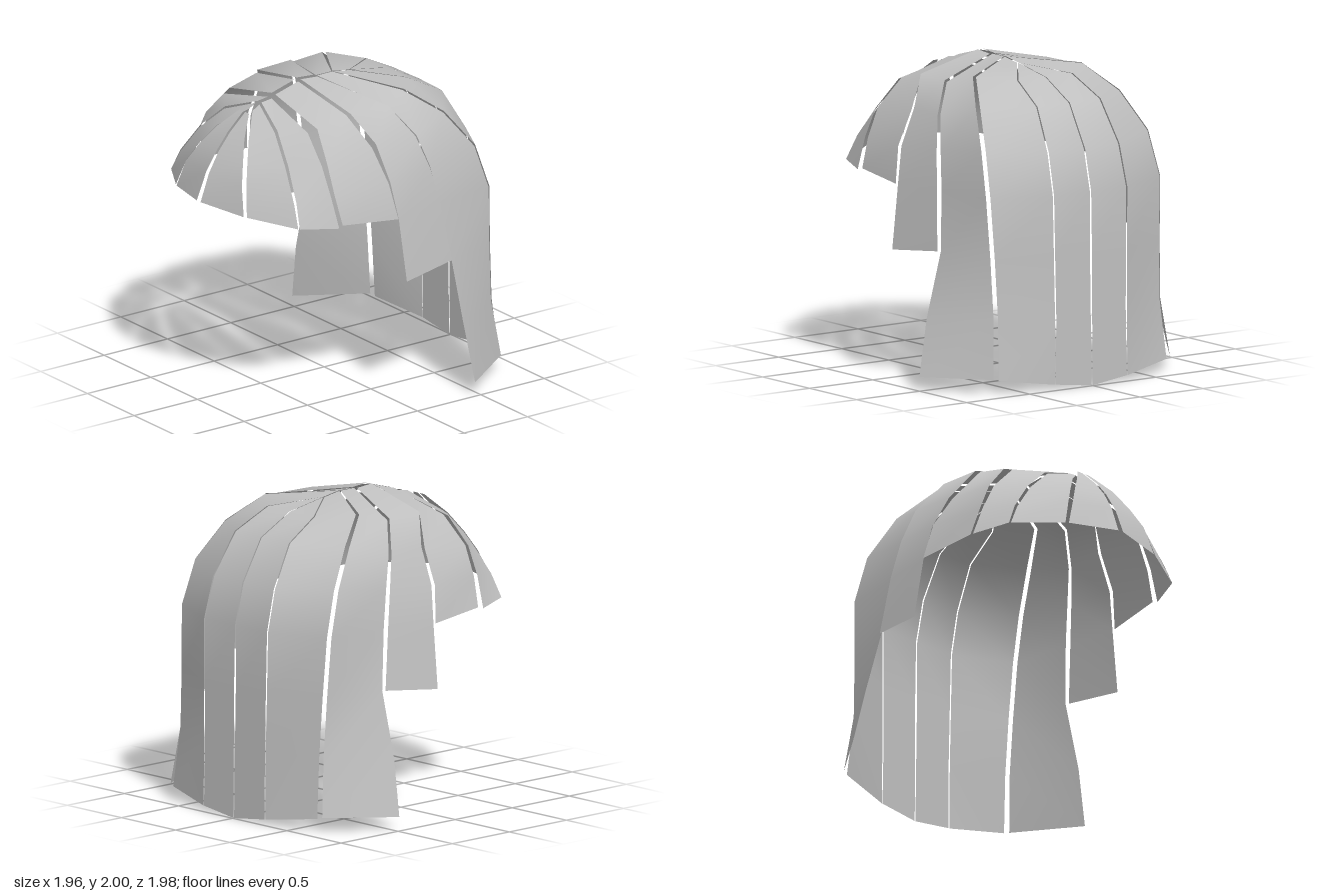
import * as THREE from 'three';

const hair = new THREE.MeshStandardMaterial({ color: 0xc0c0c0, side: THREE.DoubleSide });
hair.name = 'grey hair';

// One lock: a smooth ribbon between a front edge and a rear edge, both running crown to tip.
function ribbon(front, rear, side) {
  const [a, b] = side > 0 ? [front, rear] : [rear, front];
  const position = [], index = [];
  a.forEach((p, i) => {
    const q = b[i];
    position.push(p[0] * side, p[1], p[2], q[0] * side, q[1], q[2]);
    if (i) {
      const k = 2 * (i - 1);
      index.push(k, k + 2, k + 1, k + 1, k + 2, k + 3);
    }
  });
  const g = new THREE.BufferGeometry();
  g.setAttribute('position', new THREE.Float32BufferAttribute(position, 3));
  g.setIndex(index);
  g.computeVertexNormals();
  return g;
}

// Edges of the locks on the left half, from the fringe round to the back.
const locks = {
  centreFringe: [
    [[0.01, 1.87, 0.63], [0.01, 1.76, 0.75], [0.01, 1.65, 0.84], [0.015, 1.52, 0.92], [0.02, 1.34, 0.99]],
    [[0.05, 1.87, 0.63], [0.15, 1.75, 0.74], [0.23, 1.63, 0.81], [0.3, 1.5, 0.87], [0.36, 1.32, 0.9]]],
  outerFringe: [
    [[0.02, 1.87, 0.58], [0.17, 1.75, 0.72], [0.25, 1.63, 0.79], [0.32, 1.5, 0.85], [0.38, 1.32, 0.89]],
    [[0.02, 1.9, 0.525], [0.27, 1.8, 0.59], [0.46, 1.63, 0.645], [0.61, 1.43, 0.685], [0.68, 1.29, 0.705]]],
  templeLock: [
    [[0.02, 1.91, 0.51], [0.28, 1.81, 0.575], [0.47, 1.64, 0.63], [0.62, 1.44, 0.675], [0.69, 1.29, 0.7]],
    [[0.02, 1.92, 0.43], [0.45, 1.82, 0.46], [0.62, 1.65, 0.475], [0.71, 1.47, 0.47], [0.78, 1.27, 0.455]]],
  sideLock: [
    [[0.02, 1.94, 0.4], [0.47, 1.84, 0.4], [0.63, 1.66, 0.44], [0.71, 1.47, 0.44], [0.77, 1.28, 0.42]],
    [[0.02, 1.99, 0.22], [0.48, 1.89, 0.18], [0.63, 1.69, 0.085], [0.76, 1.48, 0.05], [0.81, 1.245, 0.01]]],
  earLock: [
    [[0.02, 2, 0.2], [0.5, 1.9, 0.16], [0.63, 1.71, 0.055], [0.75, 1.48, 0.03], [0.8, 1.24, 0], [0.86, 0.83, -0.02]],
    [[0.02, 1.99, 0.07], [0.52, 1.9, -0.12], [0.66, 1.71, -0.235], [0.72, 1.5, -0.305], [0.76, 1.25, -0.36], [0.8, 0.87, -0.42]]],
  shoulderLock: [
    [[0.005, 1.99, 0.06], [0.51, 1.89, -0.13], [0.65, 1.71, -0.25], [0.7, 1.5, -0.32], [0.73, 1.25, -0.37],
      [0.78, 0.87, -0.43], [0.9, 0.45, -0.44], [0.98, 0.085, -0.47]],
    [[0.005, 1.99, -0.06], [0.43, 1.94, -0.3], [0.57, 1.78, -0.52], [0.66, 1.54, -0.7], [0.69, 1.25, -0.79],
      [0.67, 0.85, -0.81], [0.66, 0.47, -0.83], [0.7, 0.095, -0.88]]],
  outerBack: [
    [[0.005, 1.99, -0.07], [0.42, 1.94, -0.32], [0.55, 1.78, -0.54], [0.64, 1.54, -0.72], [0.67, 1.25, -0.81],
      [0.65, 0.85, -0.83], [0.64, 0.47, -0.85], [0.665, 0.085, -0.89]],
    [[0.005, 1.97, -0.2], [0.22, 1.92, -0.49], [0.255, 1.79, -0.74], [0.285, 1.52, -0.9], [0.295, 1.25, -0.97],
      [0.29, 0.85, -0.975], [0.285, 0.47, -0.98], [0.285, 0.035, -0.985]]],
  centreBack: [
    [[0.005, 1.97, -0.21], [0.21, 1.92, -0.49], [0.245, 1.79, -0.74], [0.275, 1.52, -0.9], [0.285, 1.25, -0.97],
      [0.28, 0.85, -0.975], [0.275, 0.47, -0.98], [0.28, 0.035, -0.985]],
    [[0.002, 1.97, -0.21], [0.003, 1.92, -0.5], [0.004, 1.79, -0.75], [0.005, 1.52, -0.91], [0.005, 1.25, -0.975],
      [0.008, 0.85, -0.98], [0.006, 0.47, -0.985], [0.003, 0, -0.99]]],
};

export function createModel() {
  const model = new THREE.Group();
  model.name = 'hairpiece';
  for (const [name, [front, rear]] of Object.entries(locks)) {
    // Each lock is mirrored to the other half of the head.
    for (const side of [1, -1]) {
      const mesh = new THREE.Mesh(ribbon(front, rear, side), hair);
      mesh.name = name + (side > 0 ? 'Left' : 'Right');
      model.add(mesh);
    }
  }
  return model;
}
